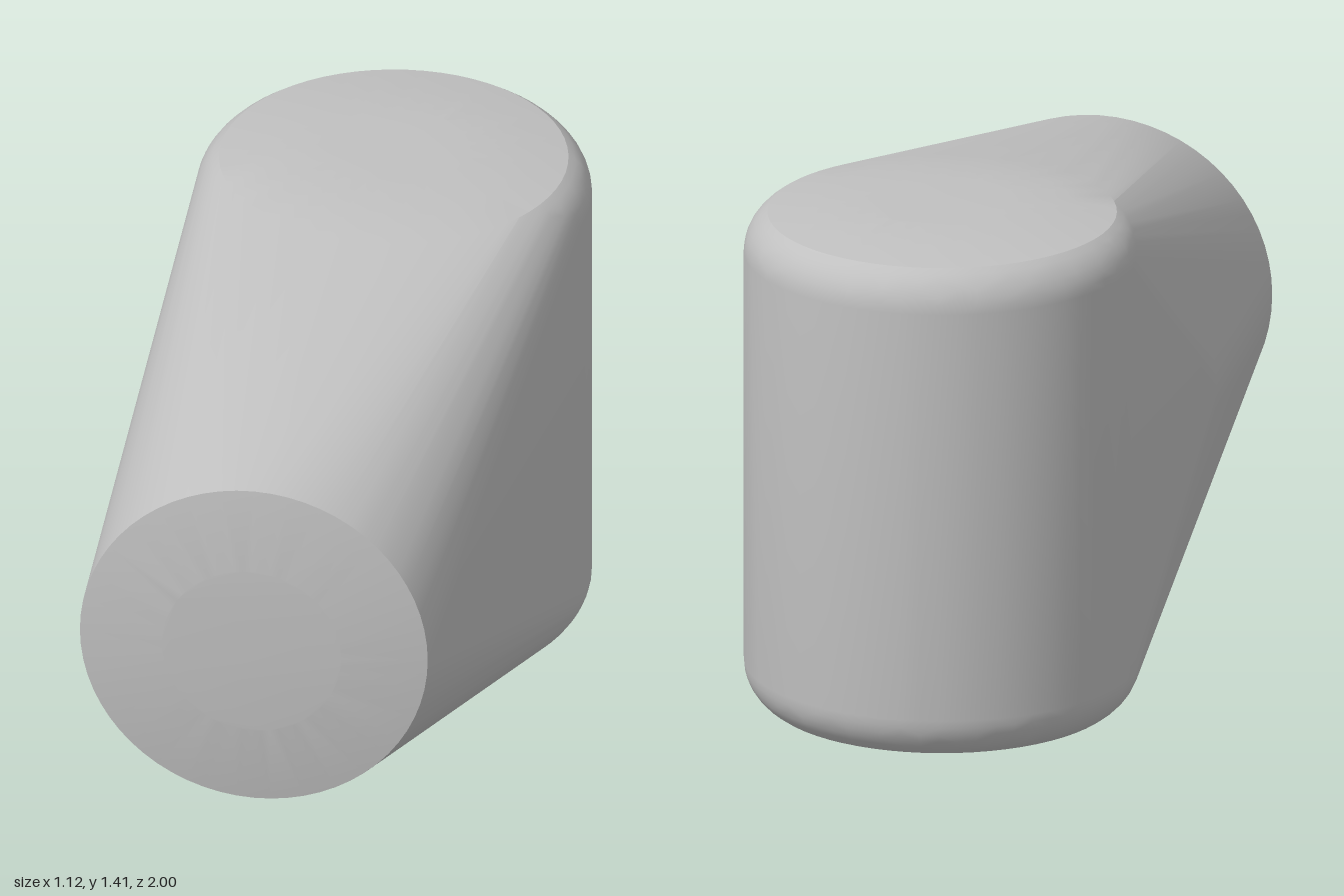
import * as THREE from 'three';
import { ConvexGeometry } from 'three/addons/geometries/ConvexGeometry.js';
import { toCreasedNormals } from 'three/addons/utils/BufferGeometryUtils.js';

const SEGMENTS = 64;
const MID_Y = 0.707;
const WORK_SCALE = 10; // keeps close vertices distinct while normals are smoothed

// Ring of points around a centre, in the plane spanned by axes u and v
function ring(center, u, v, radius) {
  return Array.from({ length: SEGMENTS }, (_, i) => {
    const a = (i / SEGMENTS) * Math.PI * 2;
    return center.clone()
      .addScaledVector(u, radius * Math.cos(a))
      .addScaledVector(v, radius * Math.sin(a));
  });
}

export function createModel() {
  const group = new THREE.Group();
  group.name = 'elbowBody';
  const grey = new THREE.MeshStandardMaterial({ color: 0xc0c0c0 });
  grey.name = 'grey';

  const X = new THREE.Vector3(1, 0, 0);
  const Y = new THREE.Vector3(0, 1, 0);
  const Z = new THREE.Vector3(0, 0, 1);
  const points = [];

  // Upright drum: radius and half height, rounded shoulder then shallow domed cap
  const drum = [];
  for (let i = 0; i <= 6; i++) {
    const a = (i / 6) * THREE.MathUtils.degToRad(59);
    drum.push([0.394 + 0.128 * Math.cos(a), 0.565 + 0.128 * Math.sin(a)]);
  }
  drum.push([0.34, 0.692], [0.2, 0.703]);
  for (const [r, h] of drum) {
    for (const side of [-1, 1]) {
      points.push(...ring(new THREE.Vector3(0.033, MID_Y + side * h, -0.478), X, Z, r));
    }
  }

  // Forward barrel: radius and z, ending in a bevelled face
  for (const [r, z] of [[0.48, 0.2], [0.465, 0.965], [0.24, 1]]) {
    points.push(...ring(new THREE.Vector3(-0.08, MID_Y, z), X, Y, r));
  }

  // One taut skin around drum and barrel
  points.forEach((p) => p.multiplyScalar(WORK_SCALE));
  const skin = toCreasedNormals(new ConvexGeometry(points), 0.4);
  skin.scale(1 / WORK_SCALE, 1 / WORK_SCALE, 1 / WORK_SCALE);

  const body = new THREE.Mesh(skin, grey);
  body.name = 'body';
  group.add(body);
  return group;
}
